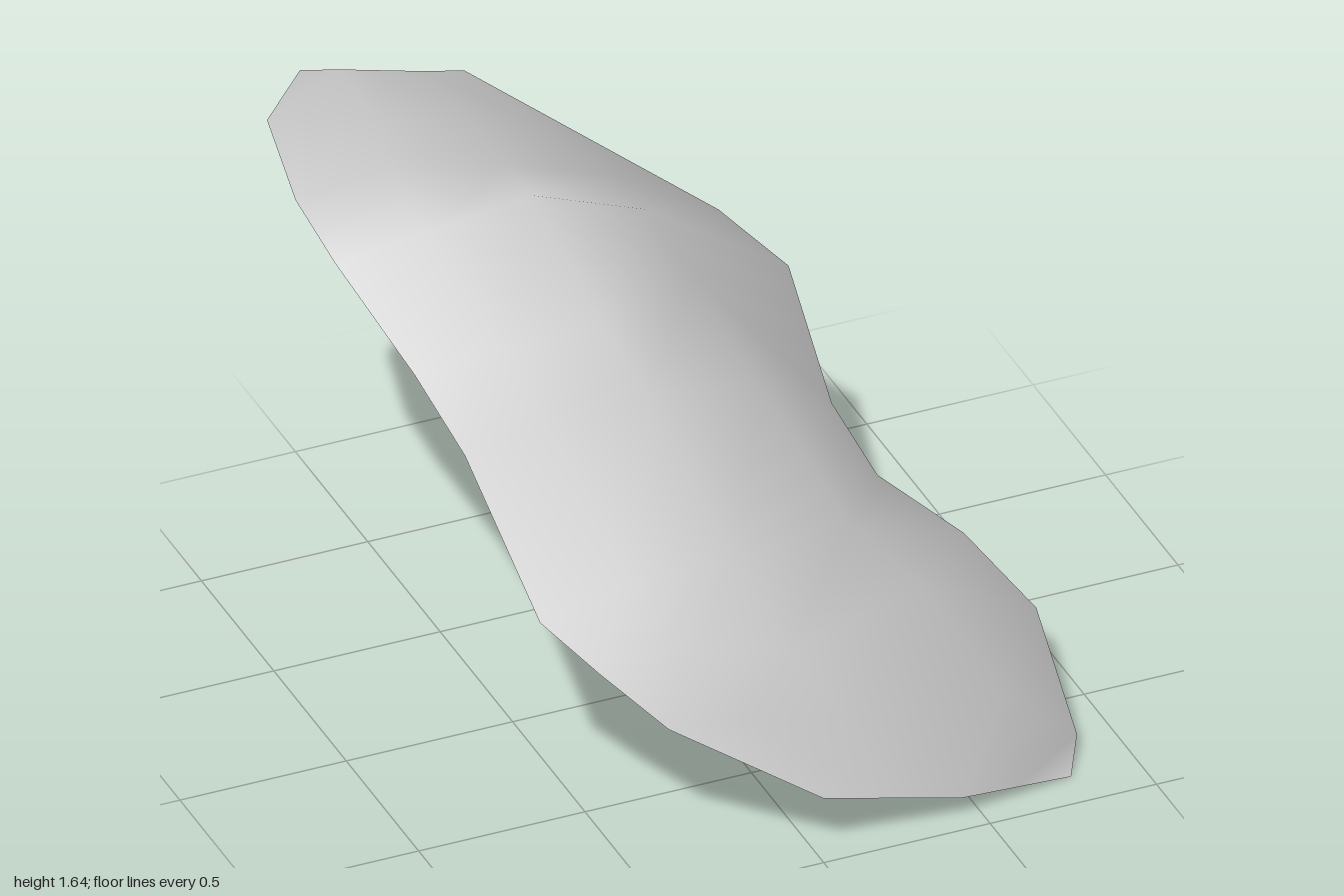
import * as THREE from 'three';

// Cross-sections of the curved shell from its high back edge to its low front edge.
// Each one runs from the -x rim over the crest to the +x rim.
const backSections = [
  [[-0.73, 1.64, -0.94], [-0.6, 1.6, -0.955], [-0.47, 1.555, -0.97], [-0.34, 1.51, -0.985], [-0.21, 1.47, -1]],
  [[-0.89, 1.6, -0.8], [-0.6, 1.57, -0.76], [-0.3, 1.48, -0.77], [-0.06, 1.36, -0.8], [0.18, 1.2, -0.81]],
  [[-0.9, 1.47, -0.58], [-0.62, 1.52, -0.55], [-0.29, 1.47, -0.51], [0.07, 1.31, -0.56], [0.41, 1.05, -0.67]],
  [[-0.86, 1.36, -0.4], [-0.6, 1.42, -0.36], [-0.29, 1.47, -0.34], [0, 1.41, -0.24], [0.56, 0.91, -0.53]],
  [[-0.75, 1.14, -0.1], [-0.5, 1.18, -0.08], [-0.2, 1.19, -0.07], [0.11, 1.21, -0.17], [0.52, 0.7, -0.14]],
];
const frontSections = [
  [[-0.7, 1, 0.13], [-0.45, 1.05, 0.14], [-0.15, 1.06, 0.13], [0.2, 0.98, 0.1], [0.57, 0.57, 0.06]],
  [[-0.67, 0.71, 0.58], [-0.4, 0.77, 0.58], [-0.1, 0.79, 0.6], [0.3, 0.74, 0.5], [0.77, 0.41, 0.2]],
  [[-0.55, 0.59, 0.71], [-0.3, 0.6, 0.74], [0, 0.55, 0.76], [0.45, 0.58, 0.65], [0.9, 0.25, 0.4]],
  [[-0.4, 0.45, 0.85], [-0.17, 0.43, 0.86], [0.13, 0.37, 0.88], [0.62, 0.3, 0.82], [0.87, 0.05, 0.75]],
  [[0, 0.21, 1], [0.22, 0.14, 0.975], [0.44, 0.07, 0.95], [0.62, 0.035, 0.91], [0.8, 0, 0.87]],
];

// Joins neighbouring cross-sections into one smooth open surface.
function loft(sections) {
  const n = sections[0].length;
  const index = [];
  for (let s = 0; s < sections.length - 1; s++) {
    for (let i = 0; i < n - 1; i++) {
      const a = s * n + i, b = a + 1, c = a + n, d = c + 1;
      index.push(a, c, b, b, c, d);
    }
  }
  const geometry = new THREE.BufferGeometry();
  geometry.setAttribute('position', new THREE.Float32BufferAttribute(sections.flat(2), 3));
  geometry.setIndex(index);
  geometry.computeVertexNormals();
  return geometry;
}

export function createModel() {
  const group = new THREE.Group();
  group.name = 'curvedShell';

  const grey = new THREE.MeshStandardMaterial({ color: 0xc4c4c4, side: THREE.DoubleSide });
  grey.name = 'light grey';

  // Thin domed shell with a notch in its +x rim
  const shell = new THREE.Mesh(loft([...backSections, ...frontSections]), grey);
  shell.name = 'shell';
  group.add(shell);
  return group;
}
